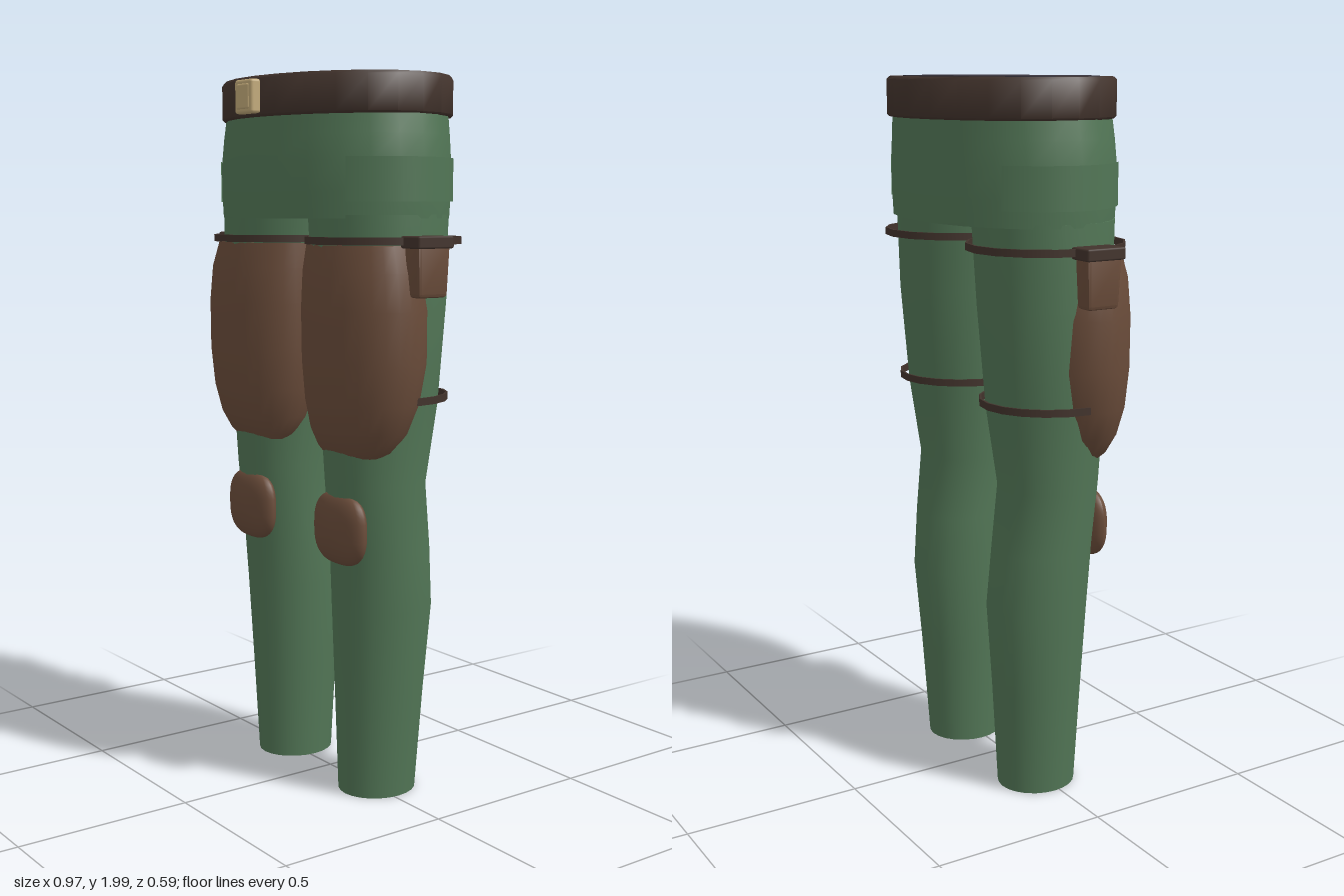
import * as THREE from 'three';
import { toCreasedNormals } from 'three/addons/utils/BufferGeometryUtils.js';
import { RoundedBoxGeometry } from 'three/addons/geometries/RoundedBoxGeometry.js';

const mat = (color, side = THREE.FrontSide) => new THREE.MeshStandardMaterial({ color, side });
const green = mat(0x527656);
const brown = mat(0x6a4c3a);
const leather = mat(0x42332c);
const strapMat = mat(0x42332c, THREE.DoubleSide);
const inner = mat(0x38343c);
const brass = mat(0xc0a878);

function add(parent, name, geometry, material, x = 0, y = 0, z = 0) {
  const mesh = new THREE.Mesh(geometry, material);
  mesh.name = name;
  mesh.position.set(x, y, z);
  parent.add(mesh);
  return mesh;
}

// Capped loft through elliptical rows [y, centreX, centreZ, radiusX, radiusZ], bottom to top
function loft(rows, segs = 24) {
  const pos = [], idx = [];
  for (const [y, cx, cz, rx, rz] of rows) {
    for (let j = 0; j < segs; j++) {
      const a = (j / segs) * Math.PI * 2;
      pos.push(cx + rx * Math.cos(a), y, cz + rz * Math.sin(a));
    }
  }
  for (let i = 0; i < rows.length - 1; i++) {
    for (let j = 0; j < segs; j++) {
      const k = (j + 1) % segs, a = i * segs, b = a + segs;
      idx.push(a + j, b + j, a + k, a + k, b + j, b + k);
    }
  }
  const last = (rows.length - 1) * segs, c = rows.length * segs;
  for (const r of [rows[0], rows[rows.length - 1]]) pos.push(r[1], r[0], r[2]);
  for (let j = 0; j < segs; j++) {
    const k = (j + 1) % segs;
    idx.push(c, j, k, c + 1, last + k, last + j);
  }
  const g = new THREE.BufferGeometry();
  g.setAttribute('position', new THREE.Float32BufferAttribute(pos, 3));
  g.setIndex(idx);
  return toCreasedNormals(g, 0.8);
}

// Flat band with a rectangular section, full or partial turn
function band(rx, rz, height, start = 0, length = Math.PI * 2) {
  const h = height / 2;
  const pts = [[0.97, -h], [1, -h], [1, h], [0.97, h], [0.97, -h]].map(p => new THREE.Vector2(...p));
  const g = new THREE.LatheGeometry(pts, length > 4 ? 16 : 10, start, length);
  g.scale(rx, 1, rz);
  return toCreasedNormals(g, 0.8);
}

// Rounded-square dome
function kneePad() {
  const g = new THREE.SphereGeometry(1, 28, 20);
  const p = g.attributes.position;
  const soften = v => Math.sign(v) * Math.pow(Math.abs(v), 0.72);
  for (let i = 0; i < p.count; i++) {
    const x = p.getX(i), y = p.getY(i), r = Math.hypot(x, y) || 1;
    const sx = soften(x / r), sy = soften(y / r);
    p.setXYZ(i, sx * r * 0.11, sy * r * 0.1, p.getZ(i) * 0.04);
  }
  g.computeVertexNormals();
  return g;
}

// Box narrowing towards its lower end
function pouchBody(w, h, d) {
  const g = new RoundedBoxGeometry(w, h, d, 1, 0.01);
  const p = g.attributes.position;
  for (let i = 0; i < p.count; i++) {
    const k = 0.88 + 0.12 * (p.getY(i) / h + 0.5);
    p.setX(i, p.getX(i) * k);
    p.setZ(i, p.getZ(i) * k);
  }
  return toCreasedNormals(g, 0.4);
}

export function createModel() {
  const model = new THREE.Group();
  model.name = 'armouredTrousers';

  // Hips and waist
  add(model, 'hips', loft([
    [1.62, 0, -0.01, 0.4, 0.265], [1.69, 0, -0.01, 0.405, 0.268],
    [1.77, 0, -0.01, 0.405, 0.268], [1.84, 0, -0.012, 0.395, 0.266],
    [1.92, 0, -0.015, 0.38, 0.262],
  ]), green);
  add(model, 'belt', loft([
    [1.89, 0, -0.015, 0.384, 0.274], [1.896, 0, -0.015, 0.39, 0.28],
    [1.99, 0, -0.015, 0.39, 0.28], [1.998, 0, -0.015, 0.383, 0.272],
  ]), leather);
  add(model, 'waistFill', loft([
    [1.97, 0, -0.015, 0.34, 0.236], [2, 0, -0.015, 0.34, 0.236],
  ]), inner);

  // Buckle: plate with a raised centre
  const buckle = new THREE.Group();
  buckle.name = 'buckle';
  model.add(buckle);
  add(buckle, 'bucklePlate', new RoundedBoxGeometry(0.085, 0.09, 0.032, 2, 0.008), brass, 0, 1.943, 0.274);
  add(buckle, 'buckleCentre', new RoundedBoxGeometry(0.062, 0.068, 0.02, 2, 0.006), brass, 0, 1.943, 0.283);

  for (const s of [1, -1]) {
    const side = new THREE.Group();
    side.name = s > 0 ? 'leftSide' : 'rightSide';
    model.add(side);
    const rows = list => list.map(([y, cx, cz, rx, rz]) => [y, cx * s, cz, rx, rz]);

    // Trouser leg
    add(side, 'leg', loft(rows([
      [0.008, 0.205, -0.015, 0.103, 0.113], [0.3, 0.21, -0.018, 0.12, 0.128],
      [0.55, 0.215, -0.022, 0.136, 0.143], [0.72, 0.22, -0.01, 0.139, 0.14],
      [0.9, 0.222, 0.008, 0.139, 0.14], [1.12, 0.222, -0.003, 0.162, 0.162],
      [1.4, 0.221, -0.005, 0.18, 0.184], [1.63, 0.213, -0.006, 0.186, 0.194],
    ])), green);

    // Thigh plate, its rear half sunk into the leg
    add(side, 'thighPlate', loft(rows([
      [0.97, 0.22, 0.085, 0.1, 0.045], [1.0, 0.225, 0.08, 0.137, 0.075],
      [1.05, 0.23, 0.072, 0.168, 0.108], [1.13, 0.235, 0.067, 0.192, 0.13],
      [1.24, 0.237, 0.062, 0.205, 0.145], [1.38, 0.236, 0.062, 0.205, 0.147],
      [1.48, 0.232, 0.064, 0.198, 0.138], [1.55, 0.225, 0.066, 0.185, 0.118],
    ]), 28), brown);

    add(side, 'kneePad', kneePad(), brown, 0.22 * s, 0.78, 0.126);

    // Straps: a full ring above, a rear half ring below
    add(side, 'upperStrap', band(0.205, 0.22, 0.02), strapMat, 0.23 * s, 1.562, -0.008);
    add(side, 'lowerStrap', band(0.188, 0.205, 0.02, Math.PI / 2, Math.PI), strapMat, 0.23 * s, 1.14, 0.015);

    // Pocket flap lying on the side of the hip
    const flap = new THREE.CylinderGeometry(1, 1, 0.115, 12, 1, true, s > 0 ? 0.84 : Math.PI + 0.84, 1.46);
    if (s < 0) flap.rotateY(Math.PI - 2 * 0.84 - 1.46);
    flap.scale(0.409, 1, 0.272);
    add(side, 'pocketFlap', flap, mat(0x527656, THREE.DoubleSide), 0, 1.722, -0.01);

    // Hip pouch
    const pouch = new THREE.Group();
    pouch.name = 'pouch';
    pouch.position.set(0.446 * s, 0, 0.013);
    side.add(pouch);
    add(pouch, 'pouchBody', pouchBody(0.062, 0.14, 0.108), brown, 0, 1.487, 0);
    add(pouch, 'pouchLid', new RoundedBoxGeometry(0.077, 0.032, 0.118, 1, 0.005), leather, 0, 1.56, 0);
  }
  return model;
}
